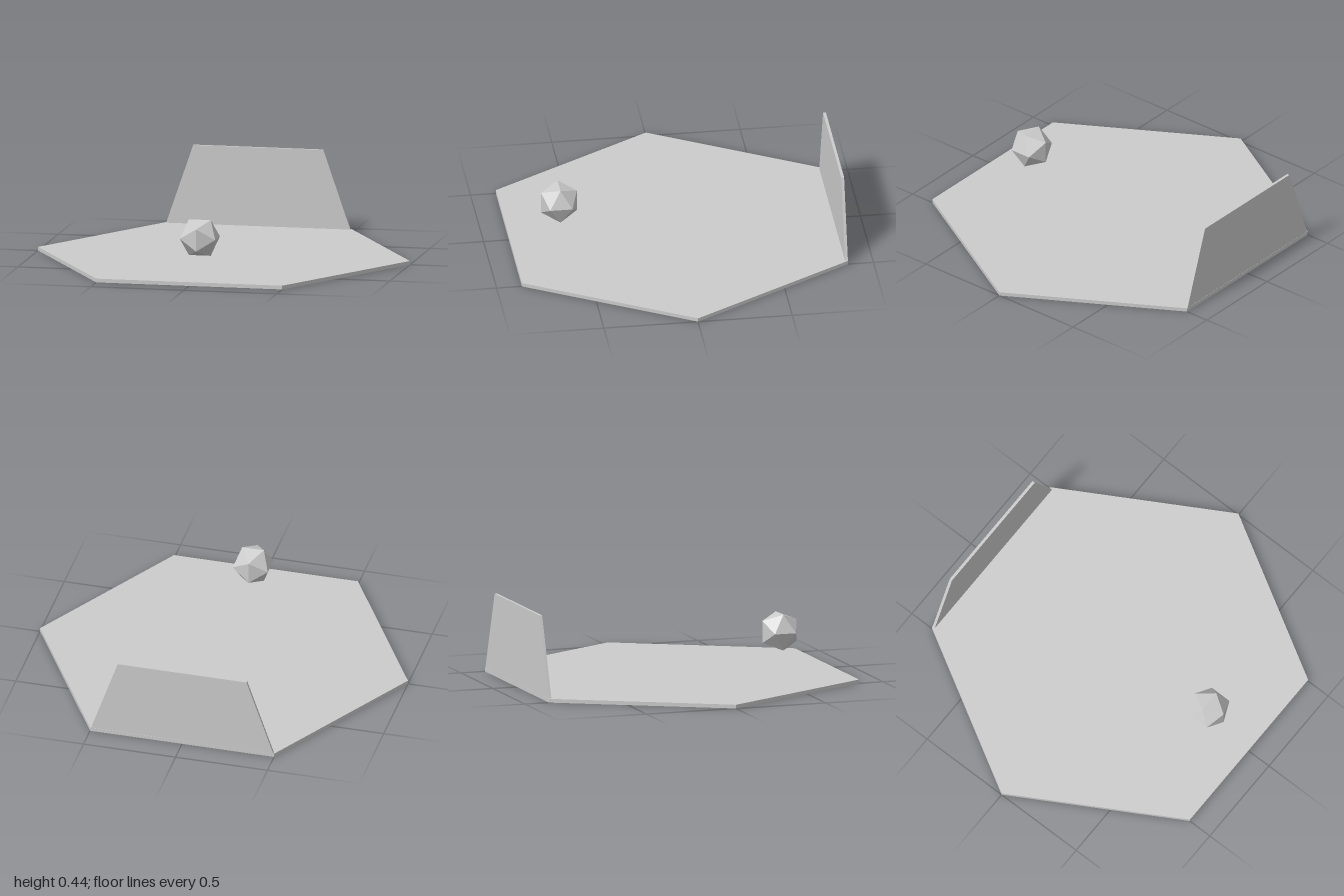
import * as THREE from 'three';

export function createModel() {
  const group = new THREE.Group();
  const material = new THREE.MeshStandardMaterial({ color: 0xcccccc, flatShading: true });
  const add = (name, geometry, x, y, z) => {
    const mesh = new THREE.Mesh(geometry, material);
    mesh.name = name;
    mesh.position.set(x, y, z);
    group.add(mesh);
  };

  // Thin hexagonal floor with corners on the x axis
  const thickness = 0.02;
  add('floor', new THREE.CylinderGeometry(1, 1, thickness, 6, 1, false, Math.PI / 6), 0, thickness / 2, 0);

  // Upright trapezoid panel along the back edge
  const outline = new THREE.Shape([
    new THREE.Vector2(-0.495, 0),
    new THREE.Vector2(0.495, 0),
    new THREE.Vector2(0.35, 0.42),
    new THREE.Vector2(-0.35, 0.42),
  ]);
  const panel = new THREE.ExtrudeGeometry(outline, { depth: 0.015, bevelEnabled: false });
  add('backPanel', panel, 0, thickness, -0.865);

  // Floating twenty-sided solid near the front edge
  add('icosahedron', new THREE.IcosahedronGeometry(0.112, 0), 0, 0.212, 0.6);

  return group;
}
